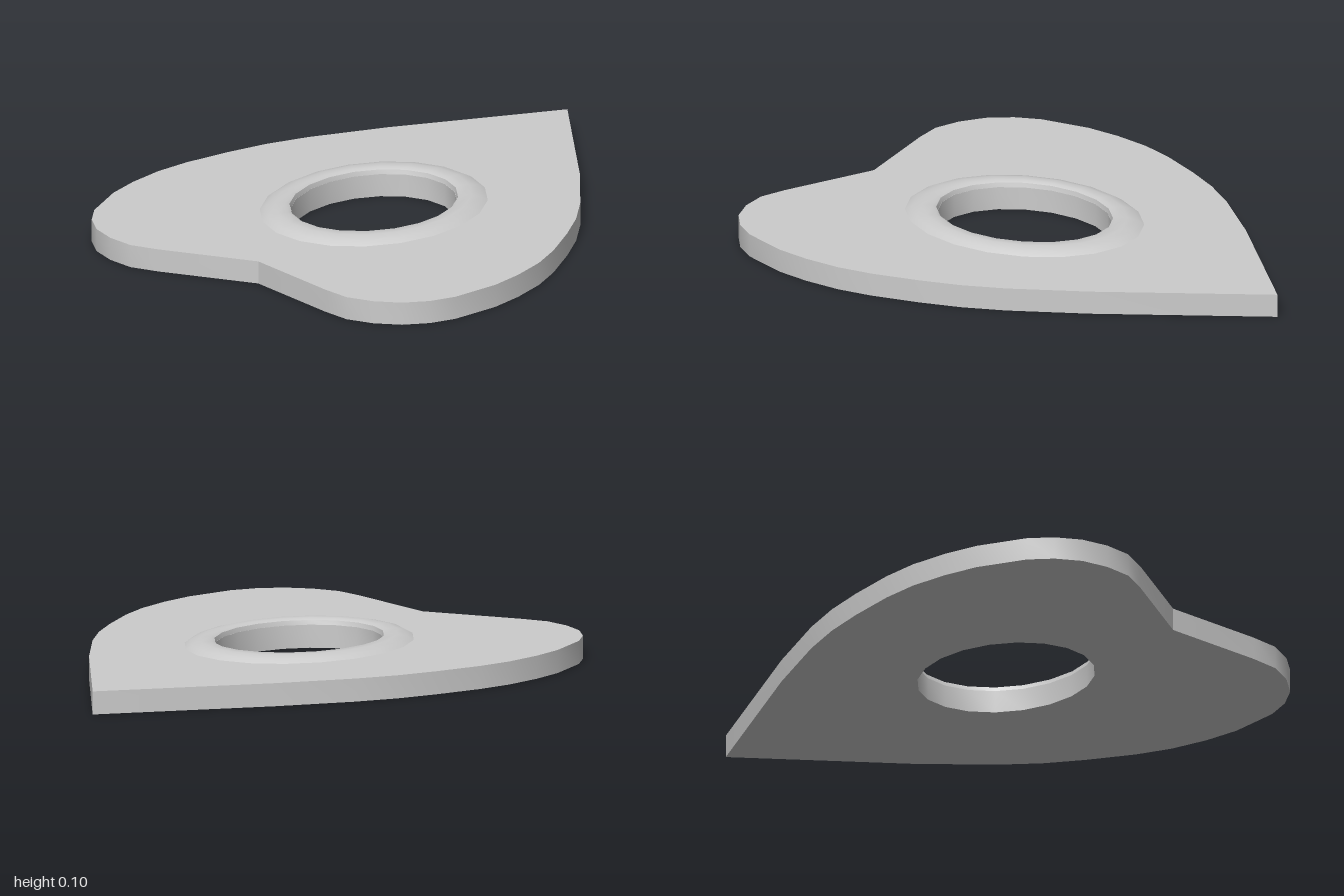
import * as THREE from 'three';
import { toCreasedNormals } from 'three/addons/utils/BufferGeometryUtils.js';

const SEGMENTS = 20;
const HOLE = { z: 0.178, rx: 0.27, rz: 0.328 };
const THICKNESS = 0.082;

export function createModel() {
  const model = new THREE.Group();
  const material = new THREE.MeshStandardMaterial({ color: 0xcccccc });

  // Heart-shaped plate: one half of the outline as (x, z), mirrored for the other
  const half = [
    [0, -1], [0.41, -0.49], [0.58, -0.25], [0.66, -0.11], [0.72, 0.03], [0.78, 0.2],
    [0.81, 0.33], [0.82, 0.47], [0.813, 0.6], [0.768, 0.78], [0.72, 0.865], [0.65, 0.935],
    [0.56, 0.98], [0.46, 1], [0.355, 0.98], [0, 0.88],
  ];
  const mirrored = half.slice(1, -1).reverse().map(([x, z]) => [-x, z]);
  const outline = new THREE.Shape([...half, ...mirrored].map(([x, z]) => new THREE.Vector2(x, -z)));

  // Oval window through the plate
  const holePoints = [];
  for (let i = 0; i < SEGMENTS; i++) {
    const a = (i / SEGMENTS) * Math.PI * 2;
    holePoints.push(new THREE.Vector2(Math.sin(a) * HOLE.rx, -HOLE.z - Math.cos(a) * HOLE.rz));
  }
  outline.holes.push(new THREE.Path(holePoints));

  const plateGeometry = new THREE.ExtrudeGeometry(outline, { depth: THICKNESS, bevelEnabled: false });
  plateGeometry.rotateX(-Math.PI / 2);
  const plate = new THREE.Mesh(toCreasedNormals(plateGeometry, 0.5), material);
  plate.name = 'heartPlate';
  model.add(plate);

  // Low raised rim around the window, from outer foot over the crown to the hole
  const profile = [
    [1.385, 0.08], [1.3, 0.095], [1.18, 0.104], [1.06, 0.104], [1.015, 0.098], [1, 0.08],
  ].map(([r, y]) => new THREE.Vector2(r, y));
  const rimGeometry = new THREE.LatheGeometry(profile, SEGMENTS);
  rimGeometry.scale(HOLE.rx, 1, HOLE.rz);
  rimGeometry.translate(0, 0, HOLE.z);
  const rim = new THREE.Mesh(toCreasedNormals(rimGeometry, 0.6), material);
  rim.name = 'windowRim';
  model.add(rim);

  return model;
}
